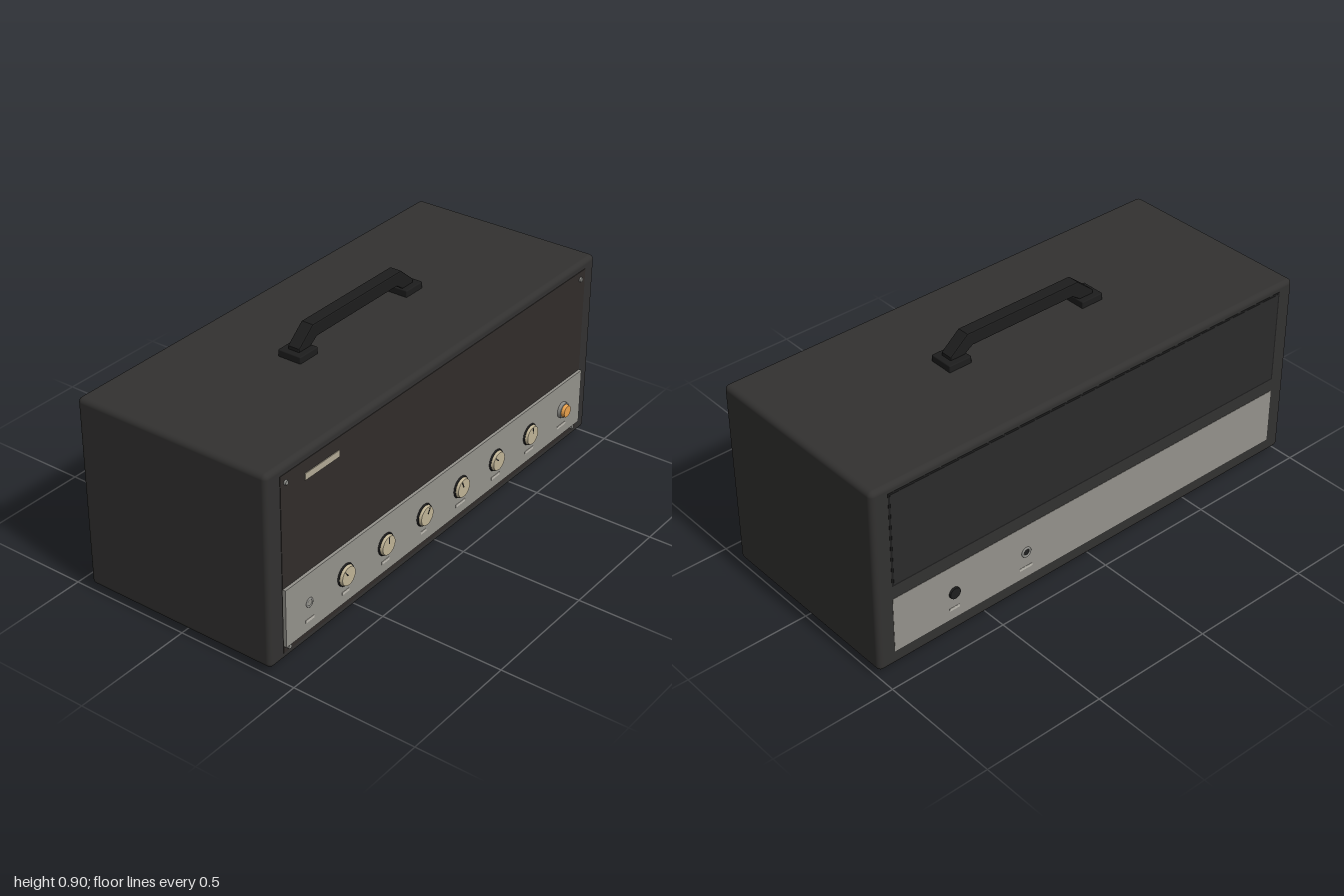
import * as THREE from 'three';
import { RoundedBoxGeometry } from 'three/addons/geometries/RoundedBoxGeometry.js';

const mat = (color) => new THREE.MeshStandardMaterial({ color });
const M = {
  shell: mat(0x323130), grille: mat(0x302c2a), back: mat(0x2b2b2b), black: mat(0x1d1d1d),
  plate: mat(0x93918b), label: mat(0xbcb9b0), cream: mat(0xbfb395), badge: mat(0xb0a894),
  metal: mat(0x8a8a86), amber: mat(0xe8a04c),
};
const CZ = -0.015; // cabinet centre in depth

export function createModel() {
  const model = new THREE.Group();

  const add = (name, geo, material, x, y, z, parent = model) => {
    const mesh = new THREE.Mesh(geo, material);
    mesh.name = name;
    mesh.position.set(x, y, z);
    parent.add(mesh);
    return mesh;
  };
  const box = (name, w, h, d, material, x, y, z, parent) =>
    add(name, new THREE.BoxGeometry(w, h, d), material, x, y, z, parent);
  // disc or tapered cylinder facing +z
  const disc = (name, rFront, rBack, depth, material, x, y, z, parent, sides = 32) =>
    add(name, new THREE.CylinderGeometry(rFront, rBack, depth, sides).rotateX(Math.PI / 2), material, x, y, z, parent);
  const ring = (name, r, tube, material, x, y, z, parent) =>
    add(name, new THREE.TorusGeometry(r, tube, 10, 32), material, x, y, z, parent);

  // Cabinet
  add('cabinet', new RoundedBoxGeometry(2, 0.775, 0.83, 4, 0.02), M.shell, 0, 0.4125, CZ);

  // Front: grille board, control plate, badge and corner screws
  box('grille', 1.86, 0.71, 0.004, M.grille, 0, 0.41, 0.4);
  box('controlPlate', 1.86, 0.235, 0.012, M.plate, 0, 0.2025, 0.408);
  box('badge', 0.185, 0.026, 0.004, M.badge, -0.712, 0.702, 0.403);
  for (const x of [-0.903, 0.897])
    for (const y of [0.732, 0.071]) disc('screw', 0.008, 0.01, 0.008, M.metal, x, y, 0.405, model, 16);

  // Knobs with skirt, cap and pointer line
  const turns = [0.7, 0, -0.5, 0.4, 0.8, 0];
  const labelWidths = [0.04, 0.045, 0.034, 0.06, 0.055, 0.06];
  turns.forEach((turn, i) => {
    const x = -0.603 + i * 0.2333;
    const knob = new THREE.Group();
    knob.name = 'knob';
    knob.position.set(x, 0.202, 0.414);
    knob.rotation.z = turn;
    model.add(knob);
    disc('knobSkirt', 0.043, 0.045, 0.006, M.black, 0, 0, 0.003, knob);
    disc('knobCap', 0.037, 0.041, 0.011, M.cream, 0, 0, 0.0105, knob);
    box('knobPointer', 0.004, 0.026, 0.002, M.black, 0, 0.02, 0.0162, knob);
    box('knobLabel', labelWidths[i], 0.012, 0.002, M.label, x, 0.13, 0.4145);
  });

  // Input jack and pilot lamp
  ring('inputJackRing', 0.015, 0.004, M.metal, -0.803, 0.2, 0.414);
  disc('inputJackHole', 0.012, 0.012, 0.002, M.plate, -0.803, 0.2, 0.4145);
  box('inputLabel', 0.045, 0.012, 0.002, M.label, -0.803, 0.13, 0.4145);
  disc('lampBezel', 0.032, 0.034, 0.014, M.metal, 0.797, 0.202, 0.42);
  disc('lampLens', 0.024, 0.027, 0.014, M.amber, 0.797, 0.202, 0.433, model, 24);
  box('lampLabel', 0.06, 0.012, 0.002, M.label, 0.797, 0.13, 0.4145);

  // Carry handle: bent strap on two feet
  const outline = [[0.34, 0.825], [0.34, 0.84], [0.262, 0.905], [-0.262, 0.905], [-0.34, 0.84], [-0.34, 0.825],
    [-0.275, 0.825], [-0.238, 0.85], [0.238, 0.85], [0.275, 0.825]];
  const strap = new THREE.ExtrudeGeometry(new THREE.Shape(outline.map(([x, y]) => new THREE.Vector2(x, y))), {
    depth: 0.042, bevelEnabled: true, bevelThickness: 0.005, bevelSize: 0.005, bevelOffset: -0.005, bevelSegments: 2,
  });
  add('handleStrap', strap, M.black, 0, 0, CZ - 0.021);
  for (const s of [-1, 1])
    add('handleMount', new RoundedBoxGeometry(0.1, 0.03, 0.1, 2, 0.004), M.black, s * 0.315, 0.812, CZ);

  // Rubber feet
  for (const x of [-0.925, 0.925])
    for (const z of [-0.327, 0.327])
      add('foot', new THREE.CylinderGeometry(0.028, 0.026, 0.03, 24), M.black, x, 0.015, z);

  // Rear: service panel with shadow gap, connector plate
  const rear = new THREE.Group();
  rear.name = 'rear';
  rear.position.z = -0.43;
  rear.rotation.y = Math.PI;
  model.add(rear);
  box('panelGap', 1.86, 0.395, 0.002, M.black, 0, 0.572, 0, rear);
  box('rearPanel', 1.845, 0.38, 0.004, M.back, 0, 0.572, 0, rear);
  box('connectorPlate', 1.86, 0.235, 0.002, M.plate, 0, 0.2025, 0, rear);

  // Rear sockets (x is mirrored inside the rear group)
  disc('fuseCap', 0.023, 0.024, 0.01, M.black, -0.663, 0.2, 0.004, rear);
  box('fuseLabel', 0.045, 0.012, 0.002, M.label, -0.663, 0.13, 0.001, rear);
  ring('speakerJackRing', 0.017, 0.005, M.metal, -0.33, 0.2, 0.002, rear);
  disc('speakerJackHole', 0.014, 0.014, 0.003, M.black, -0.33, 0.2, 0.001, rear);
  box('speakerLabel', 0.06, 0.012, 0.002, M.label, -0.33, 0.13, 0.001, rear);

  return model;
}
